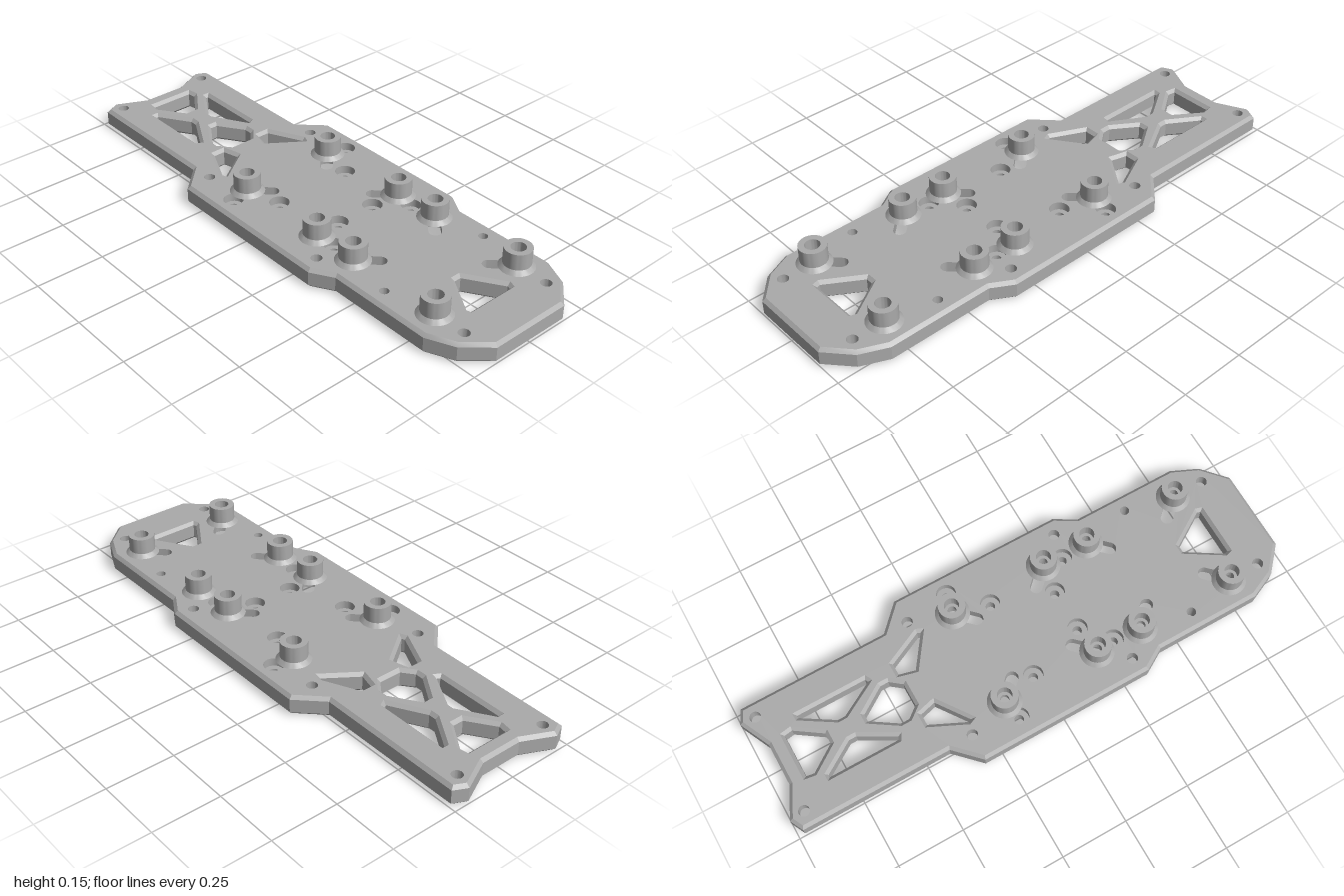
import * as THREE from 'three';
import { toCreasedNormals } from 'three/addons/utils/BufferGeometryUtils.js';

const H = 0.075, C = 0.012; // plate thickness and chamfer
const v = (x, z) => new THREE.Vector2(x, z);
const flip = (pts) => pts.map((p) => v(-p.x, p.y)).reverse();
const poly = (pairs) => pairs.map(([x, z]) => v(x, z));
const ccw = (pts) => (THREE.ShapeUtils.area(pts) < 0 ? pts.slice().reverse() : pts);
const symmetric = (pairs) => { const h = poly(pairs); return [...h, ...flip(h)]; };

// capsule around the segment a-b; a circle when both ends coincide
function capsule(ax, az, bx, bz, r) {
  const t0 = Math.atan2(bz - az, bx - ax) + Math.PI / 2, pts = [], n = 16;
  const round = ax === bx && az === bz;
  for (const [x, z, t] of [[ax, az, t0], [bx, bz, t0 + Math.PI]]) {
    for (let i = 0; i <= (round ? n - 1 : n); i++) {
      const a = t + (i / n) * Math.PI;
      pts.push(v(x + r * Math.cos(a), z + r * Math.sin(a)));
    }
  }
  return pts;
}

// move every side of a counter-clockwise loop outwards by d
function offset(pts, d) {
  return pts.map((p, i) => {
    const a = pts[(i + pts.length - 1) % pts.length], b = pts[(i + 1) % pts.length];
    const e = p.clone().sub(a).normalize(), f = b.clone().sub(p).normalize();
    const n = v(e.y + f.y, -e.x - f.x).normalize();
    return p.clone().addScaledVector(n, d / (n.x * e.y - n.y * e.x));
  });
}

// plate from an outer loop and holes, each with a profile of [height, offset] steps
function plateGeometry(outer, holes) {
  const pos = [];
  const put = (p, y) => pos.push(p.x, y, p.y);
  const walls = ({ loop, profile }, inner) => {
    const rings = profile.map(([y, d]) => ({ y, pts: d ? offset(loop, d) : loop }));
    for (let k = 0; k + 1 < rings.length; k++) {
      const a = rings[k], b = rings[k + 1];
      loop.forEach((_, i) => {
        const j = (i + 1) % loop.length;
        const q = [[a.pts[i], a.y], [b.pts[i], b.y], [b.pts[j], b.y], [a.pts[j], a.y]];
        for (const c of inner ? [0, 3, 2, 0, 2, 1] : [0, 1, 2, 0, 2, 3]) put(...q[c]);
      });
    }
    return [rings[0].pts, rings[rings.length - 1].pts];
  };
  const o = walls(outer, false), hs = holes.map((h) => walls(h, true));
  [0, H].forEach((y, side) => {
    const cuts = hs.map((h) => h[side].slice().reverse());
    const all = [...o[side], ...cuts.flat()];
    for (const f of THREE.ShapeUtils.triangulateShape(o[side], cuts)) {
      const t = f.map((i) => all[i]);
      const faceDown = THREE.ShapeUtils.area(t) > 0;
      if (faceDown !== (side === 0)) t.reverse();
      t.forEach((p) => put(p, y));
    }
  });
  const g = new THREE.BufferGeometry();
  g.setAttribute('position', new THREE.Float32BufferAttribute(pos, 3));
  return toCreasedNormals(g, 0.3);
}

export function createModel() {
  const group = new THREE.Group();
  const grey = new THREE.MeshStandardMaterial({ color: 0xaaaaaa });
  grey.name = 'plate grey';

  const outer = {
    loop: ccw(symmetric([[0.155, 1], [0.245, 0.92], [0.29, 0.82], [0.29, 0.42], [0.337, 0.34],
      [0.337, -0.32], [0.245, -0.41], [0.245, -0.975], [0.195, -1], [0.08, -0.945]])),
    profile: [[0, -C], [C, 0], [H - C, 0], [H, -C]],
  };
  const holes = [];
  const both = (loop, profile) => {
    holes.push({ loop: ccw(loop), profile }, { loop: ccw(flip(loop)), profile });
  };

  // chamfered lightening windows
  const window = [[0, 0], [C, -C], [H - C, -C], [H, 0]];
  for (const half of [
    [[0.093, -0.895], [0.1, -0.85], [0.027, -0.745]],
    [[0.02, -0.62], [0.09, -0.515], [0.09, -0.475], [0.05, -0.425]],
    [[0.02, 0.675], [0.108, 0.815], [0.1, 0.842]],
  ]) holes.push({ loop: ccw(symmetric(half)), profile: window });
  both(poly([[0.138, -0.825], [0.11, -0.825], [0.03, -0.7], [0.03, -0.665], [0.11, -0.525], [0.138, -0.54]]), window);
  both(poly([[0.135, -0.447], [0.075, -0.447], [0.055, -0.37], [0.19, -0.275], [0.203, -0.305]]), window);

  // screw holes recessed from below
  for (const [x, z, r] of [[0.19, -0.942, 0.032], [0.24, -0.317, 0.042], [0.275, 0.31, 0.042], [0.19, 0.895, 0.038]]) {
    both(capsule(x, z, x, z, 0.02), [[0, r - 0.02], [0.03, r - 0.02], [0.03, 0], [H, 0]]);
  }
  // screw holes recessed from above
  for (const [x, z] of [[0.265, -0.145], [0.155, -0.025], [0.08, 0.2], [0.18, 0.29]]) {
    both(capsule(x, z, x, z, 0.017), [[0, 0], [0.045, 0], [0.045, 0.019], [H, 0.019]]);
  }
  both(capsule(0.23, 0.585, 0.23, 0.585, 0.017), [[0, 0], [H, 0]]);

  // diagonal slots under the standoffs, widened below
  const mounts = [[-0.16, 1], [0.215, -1], [0.395, 1], [0.77, -1]];
  for (const [z, s] of mounts) {
    both(capsule(0.19, z, 0.127, z + s * 0.065, 0.023), [[0, 0.024], [0.035, 0.024], [0.035, 0], [H, 0]]);
  }

  const plate = new THREE.Mesh(plateGeometry(outer, holes), grey);
  plate.name = 'basePlate';
  group.add(plate);

  // hollow standoffs with a flared foot
  const profile = poly([[0.016, H], [0.063, H], [0.049, 0.09], [0.049, 0.15], [0.027, 0.15],
    [0.027, 0.1], [0.016, 0.1], [0.016, H]]);
  const standoffGeometry = toCreasedNormals(new THREE.LatheGeometry(profile, 36), 0.4);
  for (const [z] of mounts) {
    for (const x of [-0.19, 0.19]) {
      const standoff = new THREE.Mesh(standoffGeometry, grey);
      standoff.name = x > 0 ? 'leftStandoff' : 'rightStandoff';
      standoff.position.set(x, 0, z);
      group.add(standoff);
    }
  }
  return group;
}
